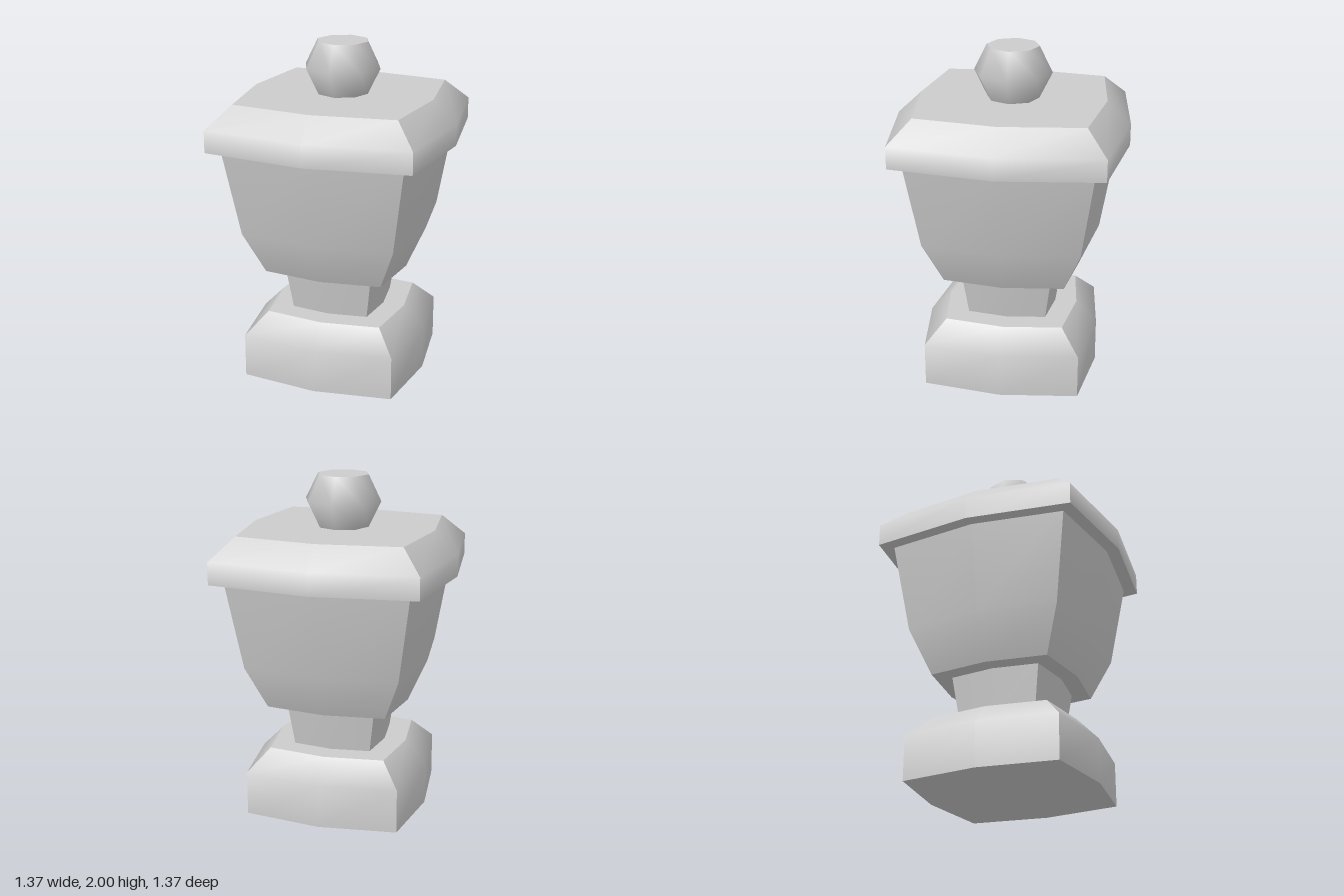
import * as THREE from 'three';

// Profile rows are [height, reach at the middle of a side, reach at the corner].
// Each of the four bowed sides is smooth; corners and end faces stay sharp.
function bowedBlock(rows) {
  const pos = [], index = [];

  for (let side = 0; side < 4; side++) {
    const cos = Math.cos(side * Math.PI / 2), sin = Math.sin(side * Math.PI / 2);
    const start = pos.length / 3;
    for (const [y, m, c] of rows) {
      for (const [x, z] of [[-c, c], [0, m], [c, c]]) {
        pos.push(x * cos + z * sin, y, z * cos - x * sin);
      }
    }
    for (let r = 0; r < rows.length - 1; r++) {
      for (let k = 0; k < 2; k++) {
        const a = start + r * 3 + k;
        index.push(a, a + 1, a + 4, a, a + 4, a + 3);
      }
    }
  }

  // flat end faces
  const endFace = ([y, m, c], up) => {
    const centre = pos.length / 3;
    pos.push(0, y, 0);
    const ring = [[-c, c], [0, m], [c, c], [m, 0], [c, -c], [0, -m], [-c, -c], [-m, 0]];
    for (const [x, z] of ring) pos.push(x, y, z);
    for (let i = 0; i < 8; i++) {
      const a = centre + 1 + i, b = centre + 1 + (i + 1) % 8;
      index.push(centre, up ? a : b, up ? b : a);
    }
  };
  endFace(rows[0], false);
  endFace(rows[rows.length - 1], true);

  const geometry = new THREE.BufferGeometry();
  geometry.setAttribute('position', new THREE.Float32BufferAttribute(pos, 3));
  geometry.setIndex(index);
  geometry.computeVertexNormals();
  return geometry;
}

export function createModel() {
  const model = new THREE.Group();
  model.name = 'urn';
  const stone = new THREE.MeshStandardMaterial({ color: 0xcccccc });
  stone.name = 'grey stone';

  const add = (name, geometry, parent = model) => {
    const mesh = new THREE.Mesh(geometry, stone);
    mesh.name = name;
    parent.add(mesh);
    return mesh;
  };

  // stacked square-plan parts
  add('base', bowedBlock([[0, 0.52, 0.46], [0.263, 0.52, 0.46], [0.392, 0.395, 0.348]]));
  add('neck', bowedBlock([[0.392, 0.264, 0.233], [0.655, 0.304, 0.268]]));
  add('bowl', bowedBlock([[0.655, 0.404, 0.357], [0.915, 0.52, 0.46], [1.435, 0.61, 0.539]]));
  add('lid', bowedBlock([[1.435, 0.685, 0.606], [1.565, 0.685, 0.606], [1.695, 0.547, 0.484]]));

  // eight-sided finial with a flat top
  const finial = new THREE.Group();
  finial.name = 'finial';
  model.add(finial);
  const profile = [[0.153, 1.695], [0.229, 1.848], [0.153, 2]].map(([r, y]) => new THREE.Vector2(r, y));
  add('finialKnob', new THREE.LatheGeometry(profile, 8), finial);
  const top = add('finialTop', new THREE.CircleGeometry(0.153, 8).rotateX(-Math.PI / 2), finial);
  top.position.y = 2;

  return model;
}
